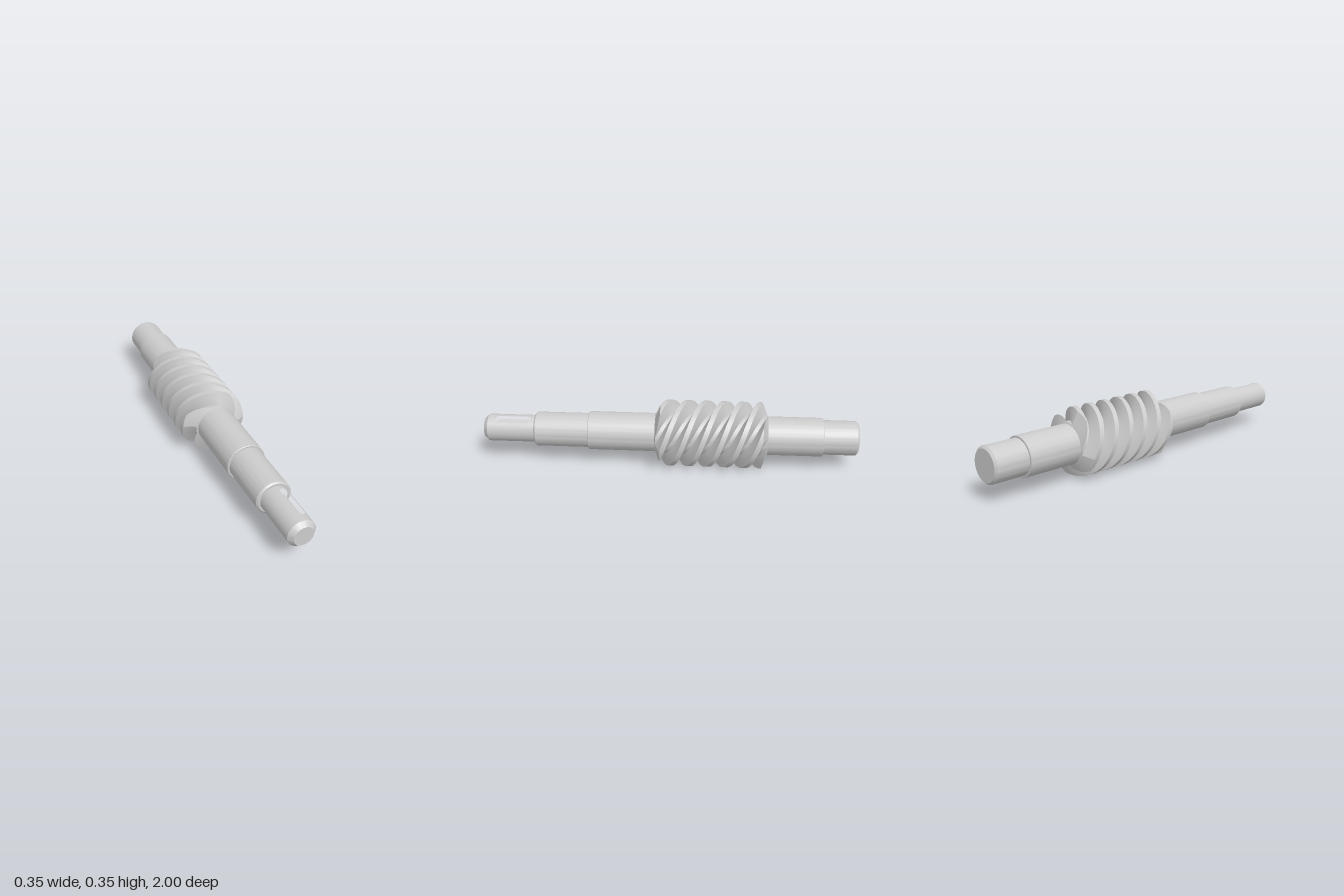
import * as THREE from 'three';
import { toCreasedNormals } from 'three/addons/utils/BufferGeometryUtils.js';

const material = new THREE.MeshStandardMaterial({ color: 0xcccccc });

// Smooth patch from fn(u, v) -> [x, y, z]; it faces du x dv
function patch(name, nu, nv, fn) {
  const pos = [], idx = [];
  for (let i = 0; i <= nu; i++)
    for (let j = 0; j <= nv; j++) pos.push(...fn(i / nu, j / nv));
  for (let i = 0; i < nu; i++)
    for (let j = 0; j < nv; j++) {
      const a = i * (nv + 1) + j, b = a + nv + 1;
      idx.push(a, b, b + 1, a, b + 1, a + 1);
    }
  const geo = new THREE.BufferGeometry();
  geo.setAttribute('position', new THREE.Float32BufferAttribute(pos, 3));
  geo.setIndex(idx);
  geo.computeVertexNormals();
  const mesh = new THREE.Mesh(geo, material);
  mesh.name = name;
  return mesh;
}

// Turned part along z from [radius, z] points, back to front
function turned(name, points) {
  const lathe = new THREE.LatheGeometry(points.map(p => new THREE.Vector2(...p)), 72);
  lathe.rotateX(Math.PI / 2);
  const mesh = new THREE.Mesh(toCreasedNormals(lathe, 0.35), material);
  mesh.name = name;
  return mesh;
}

// Worm dimensions
const ROOT = 0.112, OUTER = 0.177, LEAD = 0.39, STARTS = 4, CONE = 0.4;
const zFront = r => 0.07 - (r - ROOT) * CONE;
const zBack = r => -0.52 + (r - ROOT) * CONE;
const halfWidth = r => 0.0135 + (OUTER - r) * 0.364;
const lerp = THREE.MathUtils.lerp;

// One helical tooth: trapezoid section, ends cut by shallow cones
function wormTooth(start) {
  const tooth = new THREE.Group();
  tooth.name = 'wormThread' + (start + 1);
  const phase = THREE.MathUtils.degToRad(161) + start * 2 * Math.PI / STARTS;
  // r radius, w across the tooth (-1..1), t from back end to front end
  const point = (r, w, t) => {
    const z = lerp(zBack(r), zFront(r), t);
    const a = phase + (0.045 - z + w * halfWidth(r)) * 2 * Math.PI / LEAD;
    return [r * Math.cos(a), r * Math.sin(a), z];
  };
  const rad = s => lerp(ROOT - 0.001, OUTER, s);
  const N = 110;
  tooth.add(
    patch('threadCrest', 6, N, (u, v) => point(OUTER, u * 2 - 1, v)),
    patch('threadFlankUpper', N, 4, (u, v) => point(rad(v), 1, u)),
    patch('threadFlankLower', 4, N, (u, v) => point(rad(u), -1, v)),
    patch('threadFrontEnd', 8, 12, (u, v) => point(rad(u), v * 2 - 1, 1)),
    patch('threadBackEnd', 12, 8, (u, v) => point(rad(v), u * 2 - 1, 0))
  );
  return tooth;
}

// Front journal with a round-ended keyway cut into its skin
function keyedJournal() {
  const R = 0.073, z0 = 0.72, z1 = 0.977;
  const W = 0.0225, L = 0.0725, zc = 0.839, FLOOR = 0.045;
  const edge = Math.asin(W / R);
  const onSkin = (a, z) => [R * Math.sin(a), R * Math.cos(a), z];
  const reach = x => L + Math.sqrt(Math.max(0, W * W - x * x));
  // across the slot with points bunched at the edges, for round ends
  const across = s => -W * Math.cos(Math.PI * s);
  const angle = s => Math.asin(across(s) / R);
  const skinY = x => Math.sqrt(R * R - x * x);

  const g = new THREE.Group();
  g.name = 'keyedJournal';
  g.add(
    patch('journalSkin', 1, 64, (u, v) => onSkin(lerp(edge, 2 * Math.PI - edge, v), lerp(z0, z1, u))),
    patch('journalSkinFront', 1, 20, (u, v) =>
      onSkin(angle(v), lerp(zc + reach(across(v)), z1, u))),
    patch('journalSkinBehind', 1, 20, (u, v) =>
      onSkin(angle(v), lerp(z0, zc - reach(across(v)), u))),
    patch('keywayFloor', 1, 20, (u, v) => {
      const x = across(v);
      return [x, FLOOR, zc + (u * 2 - 1) * reach(x)];
    })
  );
  // Keyway walls: two straight sides and two round ends
  for (const s of [1, -1]) {
    g.add(
      patch('keywaySide', 1, 1, (u, v) =>
        [s * W, lerp(FLOOR, skinY(W), u), zc + s * L * (v * 2 - 1)]),
      patch('keywayEnd', 1, 20, (u, v) => {
        const x = -s * across(v);
        return [x, lerp(FLOOR, skinY(x), u), zc + s * reach(x)];
      })
    );
  }
  g.rotation.z = -THREE.MathUtils.degToRad(22.5);
  return g;
}

export function createModel() {
  const model = new THREE.Group();
  model.name = 'wormShaft';

  // Stepped shaft, including the root cylinder under the threads
  model.add(turned('shaft', [
    [0, -1], [0.081, -1], [0.092, -0.989], [0.092, -0.815],
    [0.1, -0.815], [0.103, -0.812], [0.103, zBack(0.103)],
    [ROOT, zBack(ROOT)], [ROOT, zFront(ROOT)], [0.103, zFront(0.103)],
    [0.103, 0.429], [0.1, 0.432], [0.092, 0.432],
    [0.092, 0.715], [0.084, 0.723], [0.07, 0.723]
  ]));
  model.add(turned('shaftTip', [[0.073, 0.977], [0.052, 1], [0, 1]]));
  model.add(keyedJournal());

  const worm = new THREE.Group();
  worm.name = 'worm';
  for (let i = 0; i < STARTS; i++) worm.add(wormTooth(i));
  model.add(worm);

  model.position.y = OUTER;
  const root = new THREE.Group();
  root.add(model);
  return root;
}
